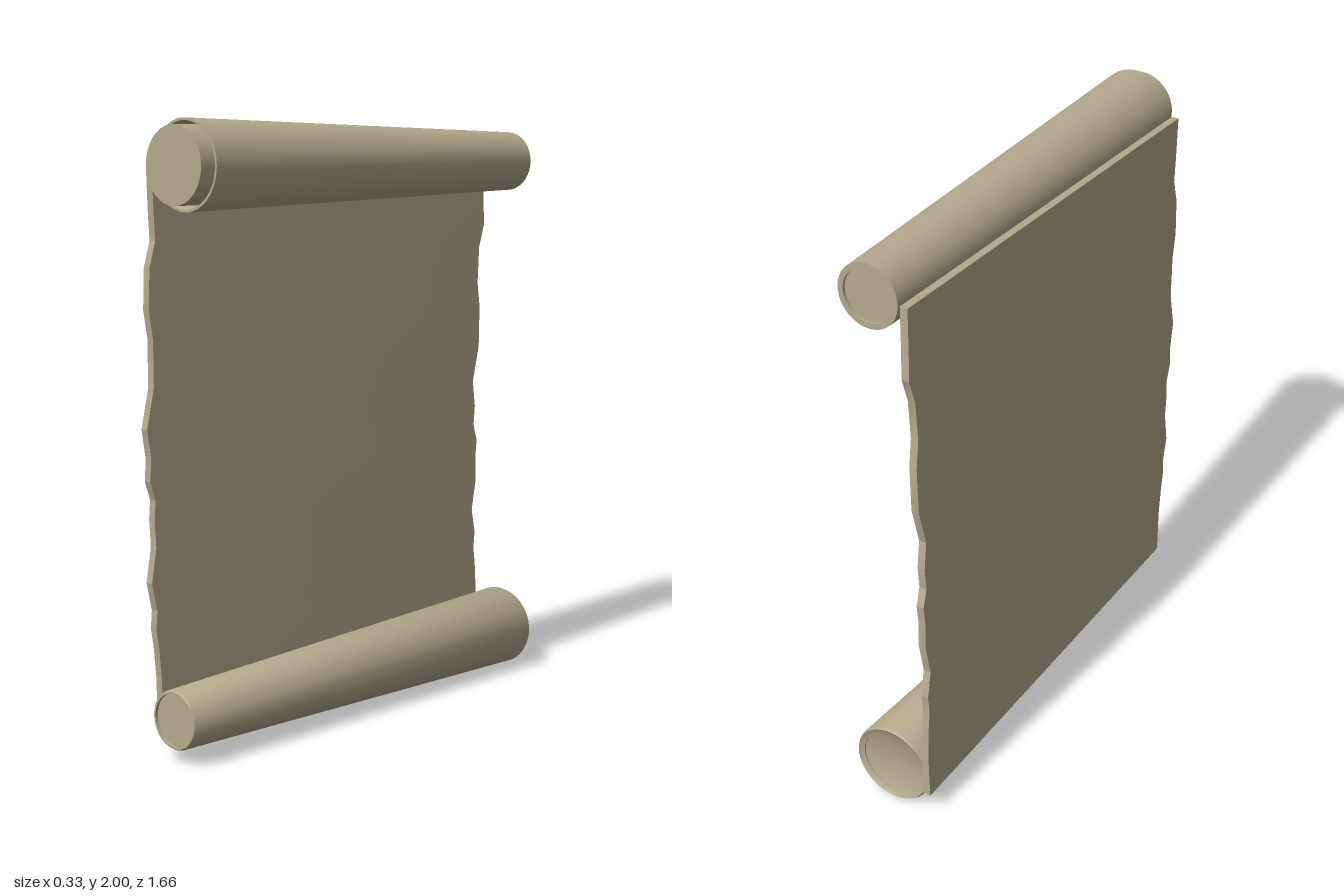
import * as THREE from 'three';
import { toCreasedNormals } from 'three/addons/utils/BufferGeometryUtils.js';

const parchment = new THREE.MeshStandardMaterial({ color: 0xb5a98c });
const lerp = THREE.MathUtils.lerp;

// Tapered roll along z: a lathe profile [radius, z], sheared so its centre runs from back to front
function makeRoll(name, profile, back, front) {
  let geo = new THREE.LatheGeometry(profile.map(([r, z]) => new THREE.Vector2(r, z)), 48);
  geo.rotateX(Math.PI / 2);
  const p = geo.attributes.position;
  for (let i = 0; i < p.count; i++) {
    const t = (p.getZ(i) + 0.82) / 1.62;
    p.setX(i, p.getX(i) + lerp(back[0], front[0], t));
    p.setY(i, p.getY(i) + lerp(back[1], front[1], t));
  }
  geo = toCreasedNormals(geo, 0.6);
  const mesh = new THREE.Mesh(geo, parchment);
  mesh.name = name;
  return mesh;
}

// Hanging sheet: a thin slab with ragged side edges and a slight twist towards the bottom
function makeSheet() {
  // [height, z of the front edge]; the back edge runs parallel to it
  const edge = [
    [0.085, 0.78], [0.25, 0.78], [0.36, 0.79], [0.42, 0.80], [0.48, 0.795], [0.57, 0.815],
    [0.68, 0.795], [0.77, 0.80], [0.83, 0.795], [0.89, 0.815], [0.96, 0.81], [1.055, 0.825],
    [1.18, 0.795], [1.33, 0.795], [1.42, 0.81], [1.55, 0.805], [1.63, 0.78], [1.72, 0.785], [1.86, 0.79],
  ];
  const rows = edge.length - 1;
  const geo = new THREE.BoxGeometry(0.026, 1, 1, 1, rows, 8);
  const p = geo.attributes.position;
  for (let i = 0; i < p.count; i++) {
    const [y, zFront] = edge[Math.round((p.getY(i) + 0.5) * rows)];
    const towardBack = 0.5 - p.getZ(i);
    const twist = 0.028 * towardBack * (1 - (y - 0.085) / 1.775);
    p.setXYZ(i, p.getX(i) - 0.128 - twist, y, zFront - 1.61 * towardBack);
  }
  const mesh = new THREE.Mesh(toCreasedNormals(geo, 0.3), parchment);
  mesh.name = 'sheet';
  return mesh;
}

export function createModel() {
  const group = new THREE.Group();
  group.name = 'scroll';

  // Upper roll: wide at the front, with its inner winding sticking out of the outer one
  group.add(makeRoll('upperRoll', [
    [0, -0.81], [0.085, -0.81], [0.085, -0.82], [0.103, -0.82],
    [0.14, 0.785], [0.132, 0.785], [0.12, 0.74], [0.12, 0.83], [0, 0.83],
  ], [-0.005, 1.862], [0.025, 1.86]));

  // Lower roll: wide at the back, with shallow recessed ends
  group.add(makeRoll('lowerRoll', [
    [0, -0.81], [0.118, -0.81], [0.118, -0.815], [0.135, -0.825], [0.14, -0.815],
    [0.096, 0.798], [0.092, 0.805], [0.085, 0.805], [0.085, 0.795], [0, 0.795],
  ], [-0.018, 0.145], [-0.035, 0.145]));

  group.add(makeSheet());
  return group;
}
